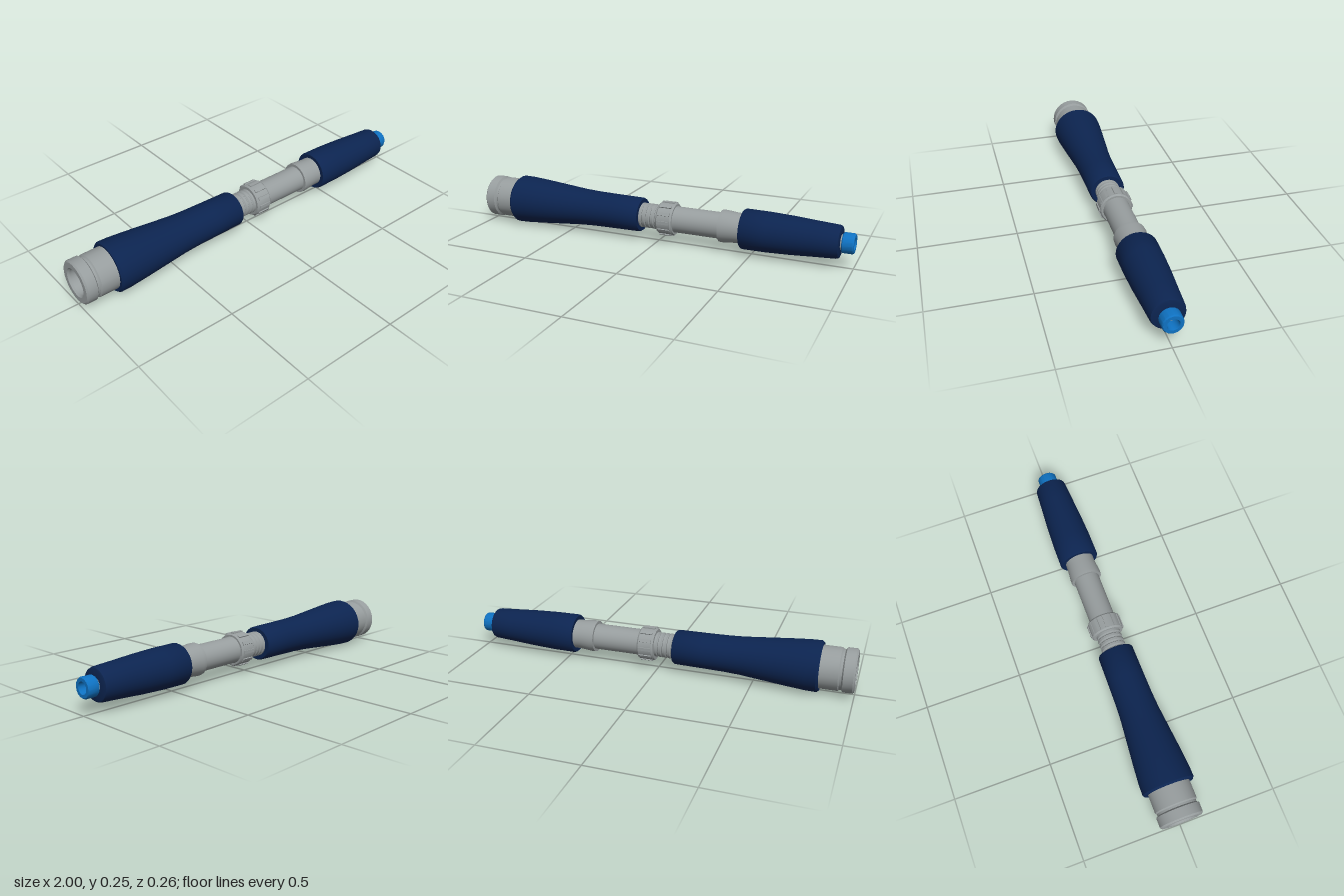
import * as THREE from 'three';
import { toCreasedNormals } from 'three/addons/utils/BufferGeometryUtils.js';

const AXIS_Y = 0.127;

export function createModel() {
  const grey = new THREE.MeshStandardMaterial({ color: 0x989e9f });
  grey.name = 'grey plastic';
  const navy = new THREE.MeshStandardMaterial({ color: 0x0c2450 });
  navy.name = 'navy grip';
  const blue = new THREE.MeshStandardMaterial({ color: 0x0f72c2 });
  blue.name = 'bright blue';

  const model = new THREE.Group();
  model.name = 'nozzleWand';
  const body = new THREE.Group();
  body.name = 'body';
  body.position.y = AXIS_Y;
  model.add(body);

  // Turned part along x; profile is [x, radius], outer surface running toward +x
  function turned(name, profile, material, sides = 32) {
    const pts = profile.map(([x, r]) => new THREE.Vector2(r, x));
    const geo = toCreasedNormals(new THREE.LatheGeometry(pts, sides), 0.6);
    geo.rotateZ(-Math.PI / 2);
    const mesh = new THREE.Mesh(geo, material);
    mesh.name = name;
    body.add(mesh);
    return mesh;
  }

  // Rear coupling with grooved rim and recessed bore
  turned('rearCoupling', [
    [-0.86, 0], [-0.86, 0.062], [-0.99, 0.066], [-1, 0.074], [-1, 0.102], [-0.992, 0.11],
    [-0.945, 0.11], [-0.938, 0.1], [-0.928, 0.1], [-0.922, 0.107], [-0.8, 0.107], [-0.8, 0],
  ], grey);

  // Long flared rear grip, a little wider than tall
  const rearGrip = turned('rearGrip', [
    [-0.83, 0.1], [-0.832, 0.118], [-0.822, 0.126], [-0.77, 0.125], [-0.68, 0.118], [-0.56, 0.107],
    [-0.44, 0.096], [-0.36, 0.092], [-0.25, 0.09], [-0.1, 0.088], [-0.092, 0.083], [-0.092, 0.06],
  ], navy);
  rearGrip.scale.z = 1.05;

  // Threaded neck
  const thread = [[-0.12, 0]];
  thread.push([-0.12, 0.064]);
  for (let i = 0; i < 4; i++) {
    const x = -0.085 + i * 0.024;
    thread.push([x, 0.064], [x + 0.004, 0.059], [x + 0.008, 0.059], [x + 0.012, 0.064]);
  }
  thread.push([0.03, 0.064], [0.03, 0]);
  turned('threadedNeck', thread, grey);

  // Ribbed locking nut
  turned('lockingNut', [
    [0.01, 0.06], [0.01, 0.078], [0.018, 0.084], [0.088, 0.084], [0.096, 0.078], [0.096, 0.06],
  ], grey);
  const ribs = new THREE.Group();
  ribs.name = 'nutRibs';
  for (let i = 0; i < 12; i++) {
    const a = (i / 12) * Math.PI * 2;
    const rib = new THREE.Mesh(new THREE.BoxGeometry(0.066, 0.012, 0.016), grey);
    rib.name = 'nutRib';
    rib.position.set(0.053, Math.cos(a) * 0.083, Math.sin(a) * 0.083);
    rib.rotation.x = a;
    ribs.add(rib);
  }
  body.add(ribs);

  // Middle tube and stepped collar
  turned('middleTube', [[0.08, 0], [0.08, 0.07], [0.11, 0.067], [0.36, 0.067], [0.36, 0]], grey);
  turned('frontCollar', [
    [0.34, 0.06], [0.34, 0.081], [0.36, 0.082], [0.42, 0.076], [0.48, 0.076], [0.48, 0],
  ], grey);

  // Tapered front grip
  const frontGrip = turned('frontGrip', [
    [0.455, 0.07], [0.453, 0.096], [0.461, 0.101], [0.58, 0.1], [0.7, 0.095], [0.82, 0.087],
    [0.92, 0.081], [0.932, 0.077], [0.935, 0.07], [0.935, 0.03],
  ], navy);
  frontGrip.scale.z = 1.02;

  // Slim spindle with its end visible inside the tip
  turned('tipSpindle', [[0.92, 0], [0.92, 0.038], [0.945, 0.038], [0.945, 0]], grey, 24);

  // Blue nozzle tip with open bore
  turned('nozzleTip', [
    [0.942, 0.03], [0.942, 0.046], [0.947, 0.05], [0.994, 0.05], [1, 0.046], [1, 0.03],
    [0.995, 0.028], [0.942, 0.028],
  ], blue, 16);

  return model;
}
